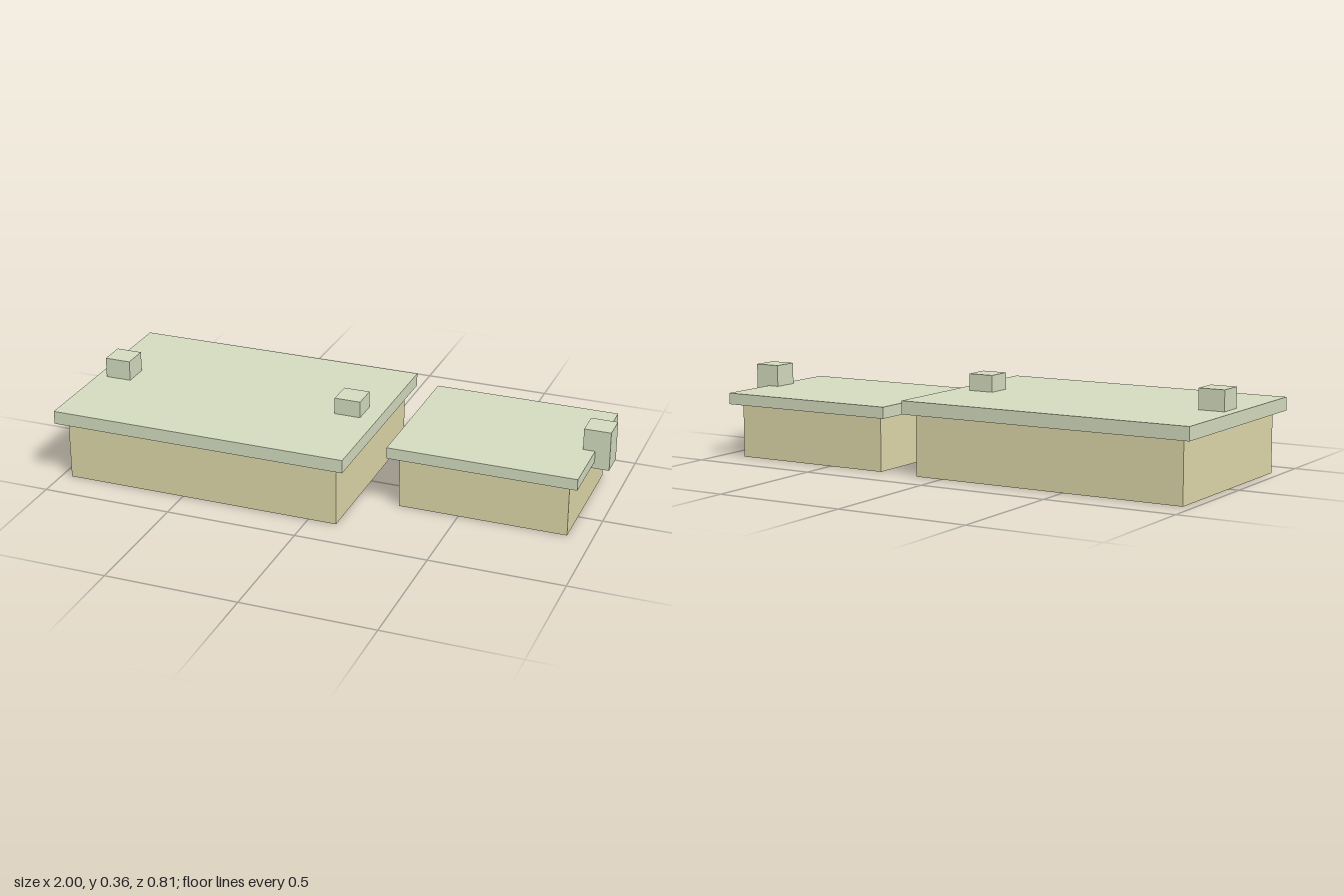
import * as THREE from 'three';

const wallMaterial = new THREE.MeshStandardMaterial({ color: 0xddd7a8, flatShading: true });
const roofMaterial = new THREE.MeshStandardMaterial({ color: 0xd3dbbe, flatShading: true });

// Box given by its extents along each axis
function block(name, material, [x0, x1], [y0, y1], [z0, z1]) {
  const mesh = new THREE.Mesh(new THREE.BoxGeometry(x1 - x0, y1 - y0, z1 - z0), material);
  mesh.position.set((x0 + x1) / 2, (y0 + y1) / 2, (z0 + z1) / 2);
  mesh.name = name;
  return mesh;
}

// Square chimney 0.1 wide and 0.15 tall, placed by its centre and top
function chimney(name, x, top, z) {
  return block(name, roofMaterial, [x - 0.05, x + 0.05], [top - 0.15, top], [z - 0.05, z + 0.05]);
}

export function createModel() {
  const model = new THREE.Group();
  model.name = 'buildings';

  // Large building with overhanging flat roof and two chimneys
  const main = new THREE.Group();
  main.name = 'mainBuilding';
  main.add(
    block('mainWalls', wallMaterial, [-0.962, 0.108], [0, 0.23], [-0.368, 0.368]),
    block('mainRoof', roofMaterial, [-1, 0.146], [0.23, 0.28], [-0.405, 0.405]),
    chimney('rightChimney', -0.912, 0.357, 0),
    chimney('leftChimney', 0.03, 0.343, 0)
  );

  // Small annex, its chimney set over the roof edge
  const annex = new THREE.Group();
  annex.name = 'annex';
  annex.add(
    block('annexWalls', wallMaterial, [0.272, 0.908], [0, 0.205], [-0.355, 0.152]),
    block('annexRoof', roofMaterial, [0.235, 0.945], [0.205, 0.248], [-0.393, 0.19]),
    chimney('annexChimney', 0.95, 0.33, -0.1)
  );

  model.add(main, annex);
  return model;
}
